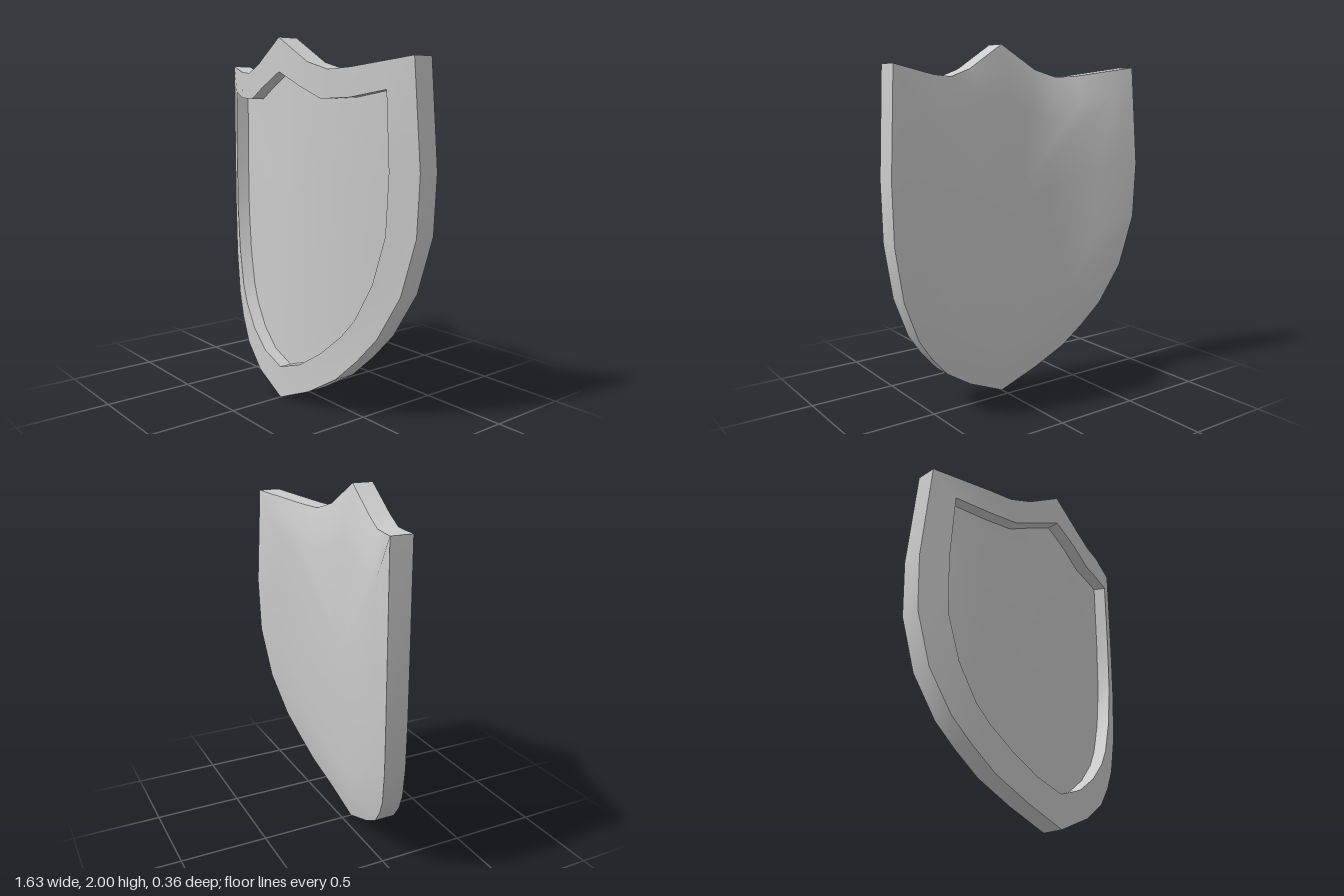
import * as THREE from 'three';
import { toCreasedNormals } from 'three/addons/utils/BufferGeometryUtils.js';

const CENTRE_Y = 1.1;

// Right halves of the outlines, from top peak to bottom tip
const OUTER = [[0, 2], [0.22, 1.865], [0.35, 1.824], [0.48, 1.832], [0.78, 1.88], [0.815, 1.32], [0.805, 1.0],
  [0.74, 0.7], [0.63, 0.465], [0.53, 0.335], [0.41, 0.21], [0.23, 0.097], [0, 0]];
const INNER = [[0, 1.82], [0.17, 1.74], [0.31, 1.677], [0.48, 1.684], [0.66, 1.72], [0.677, 1.32], [0.665, 1.0],
  [0.605, 0.75], [0.515, 0.55], [0.44, 0.45], [0.31, 0.33], [0.165, 0.235], [0, 0.18]];

// Closed outline: right half plus its mirror image
const mirror = half => [...half, ...half.slice(1, -1).reverse().map(([x, y]) => [-x, y])];

const shrink = (loop, s) => loop.map(([x, y]) => [x * s, CENTRE_Y + (y - CENTRE_Y) * s]);

// Front surface curves backwards towards the sides
const bend = x => 0.18 - 0.365 * x * x;

// Drop a loop straight back by a depth
const drop = (loop, depth) => loop.map(([x, y]) => [x, y, bend(x) - depth]);

// Sink a loop along the normal of the curved surface
const sink = (loop, depth) => loop.map(([x, y]) => {
  const slope = 0.73 * x;
  const len = Math.hypot(1, slope);
  return [x - depth * slope / len, y, bend(x) - depth / len];
});

// Join a row of equal loops into a skin; collapsed end loops become fans
function skin(name, loops, material, crease = 0.5) {
  const n = loops[0].length;
  const index = [];
  const collapsed = loop => Math.hypot(loop[0][0] - loop[6][0], loop[0][1] - loop[6][1]) < 1e-6;
  for (let r = 0; r < loops.length - 1; r++) {
    for (let i = 0; i < n; i++) {
      const j = (i + 1) % n;
      const a = r * n, b = a + n;
      if (!collapsed(loops[r + 1])) index.push(a + i, b + i, b + j);
      if (!collapsed(loops[r])) index.push(a + i, b + j, a + j);
    }
  }
  const geometry = new THREE.BufferGeometry();
  geometry.setAttribute('position', new THREE.Float32BufferAttribute(loops.flat(2), 3));
  geometry.setIndex(index);
  const mesh = new THREE.Mesh(toCreasedNormals(geometry, crease), material);
  mesh.name = name;
  return mesh;
}

export function createModel() {
  const group = new THREE.Group();
  group.name = 'shield';
  const material = new THREE.MeshStandardMaterial({ color: 0xcccccc });
  const outer = mirror(OUTER);
  const inner = mirror(INNER);
  const steps = [1, 0.85, 0.7, 0.55, 0.4, 0.2, 0];

  const frontEdge = drop(outer, 0);
  const backEdge = drop(outer, 0.12);
  const rimInside = drop(inner, 0);

  // Hollow back, deepest in the middle
  const back = [...steps].reverse().map(s => drop(shrink(inner, s), 0.16 + 0.04 * (1 - s * s)));
  group.add(skin('back', [...back, backEdge], material, 0.8));

  // Outer wall and raised border
  group.add(skin('outerEdge', [backEdge, frontEdge], material));
  group.add(skin('rim', [frontEdge, rimInside], material));

  // Recessed front panel and the wall around it
  group.add(skin('recessWall', [rimInside, sink(inner, 0.07)], material));
  group.add(skin('frontPanel', steps.map(s => sink(shrink(inner, s), 0.07)), material, 0.8));

  return group;
}
